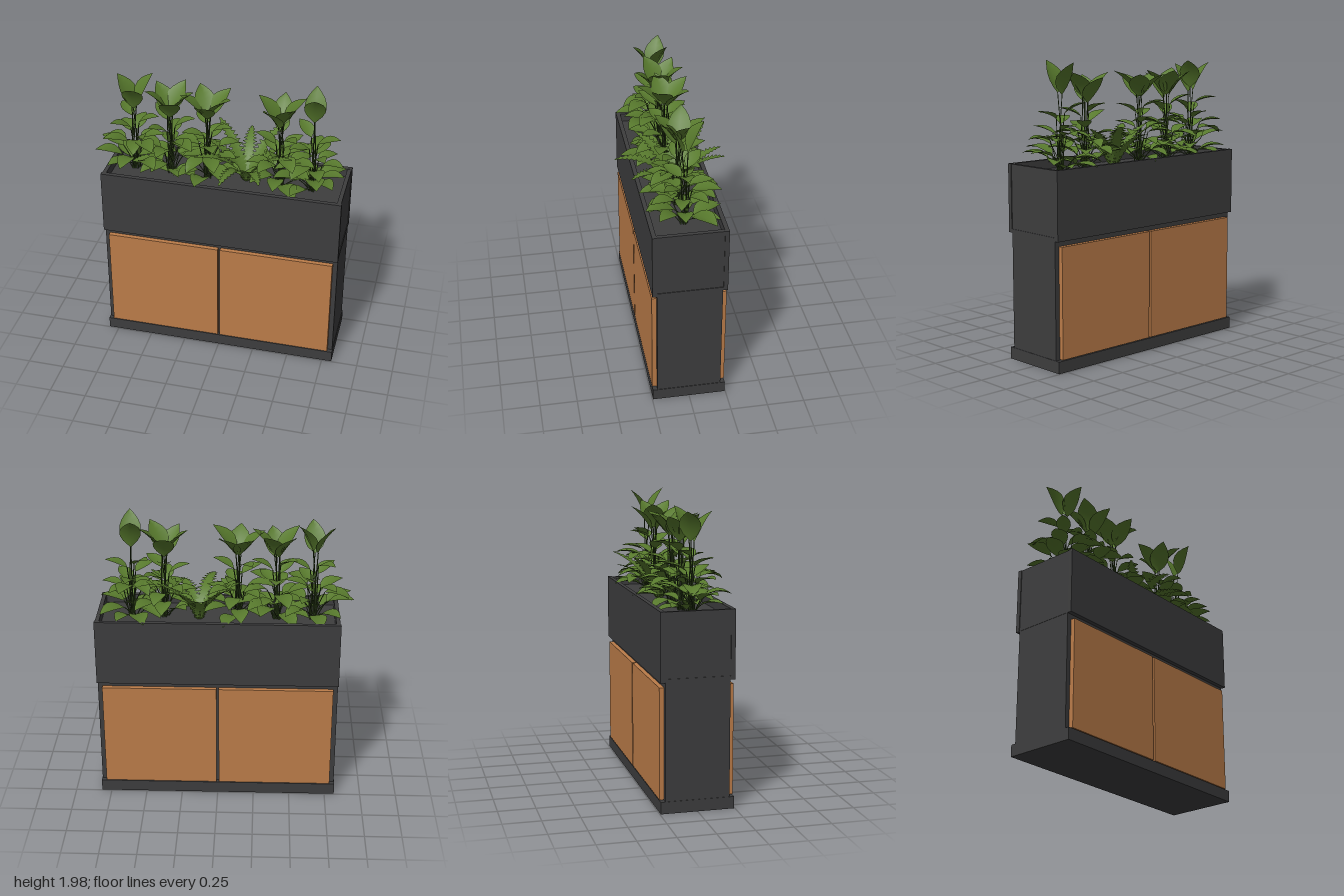
import * as THREE from 'three';
import { mergeGeometries } from 'three/addons/utils/BufferGeometryUtils.js';

const paint = (name, color, side = THREE.FrontSide) => {
  const m = new THREE.MeshStandardMaterial({ color, side });
  m.name = name;
  return m;
};

function seeded(seed) {
  let s = seed * 7919 + 17;
  return (a, b) => {
    s = (s * 16807) % 2147483647;
    return a + (b - a) * (s / 2147483647);
  };
}

// Curved, folded blade grown from a base point; halfWidth(t, row) gives its outline
function blade(base, azimuth, elevation, length, bend, fold, rows, halfWidth) {
  const h = new THREE.Vector3(Math.sin(azimuth), 0, Math.cos(azimuth));
  const side = new THREE.Vector3(Math.cos(azimuth), 0, -Math.sin(azimuth));
  const p = base.clone(), pos = [], idx = [];
  for (let r = 0; r <= rows; r++) {
    const t = r / rows, e = elevation - bend * t;
    const dir = h.clone().multiplyScalar(Math.cos(e));
    dir.y = Math.sin(e);
    const up = h.clone().multiplyScalar(-Math.sin(e));
    up.y = Math.cos(e);
    const w = halfWidth(t, r);
    for (const k of [-1, 0, 1]) {
      const v = p.clone().addScaledVector(side, k * w).addScaledVector(up, Math.abs(k) * w * fold);
      pos.push(v.x, v.y, v.z);
    }
    p.addScaledVector(dir, length / rows);
    if (r < rows) {
      for (let c = 0; c < 2; c++) {
        const a = r * 3 + c;
        idx.push(a, a + 3, a + 1, a + 1, a + 3, a + 4);
      }
    }
  }
  const g = new THREE.BufferGeometry();
  g.setAttribute('position', new THREE.Float32BufferAttribute(pos, 3));
  g.setIndex(idx);
  g.computeVertexNormals();
  return g;
}

// Pointed oval leaf
const leaf = (base, az, el, len, bend) =>
  blade(base, az, el, len, bend, 0.3, 6, (t) => len * 0.31 * Math.sin(Math.PI * (0.03 + 0.97 * Math.pow(t, 0.85))));

// Fern frond with a toothed outline
const frond = (base, az, el, len, bend) =>
  blade(base, az, el, len, bend, 0.2, 30, (t, r) =>
    (r % 2 ? 1 : 0.45) * 0.058 * Math.pow(Math.max(0, Math.sin(Math.PI * (0.12 + 0.88 * t))), 0.7));

function stem(from, to) {
  const mid = new THREE.Vector3(from.x * 0.7 + to.x * 0.3, (from.y + to.y) / 2, from.z * 0.7 + to.z * 0.3);
  return new THREE.TubeGeometry(new THREE.QuadraticBezierCurve3(from, mid, to), 5, 0.0035, 4);
}

const SOIL = 1.25;

// Position, crown centre height, number of crown leaves, their tilt and first direction
const PLANTS = [
  { x: -0.64, crown: 1.83, count: 3, tilt: 1.0, turn: 0.1 },
  { x: -0.39, crown: 1.78, count: 5, tilt: 0.85, turn: 0.2 },
  { x: -0.13, crown: 1.79, count: 5, tilt: 0.75, turn: -0.1 },
  { x: 0.36, crown: 1.79, count: 5, tilt: 0.85, turn: -0.6 },
  { x: 0.58, crown: 1.88, count: 2, tilt: 1.1, turn: 0.1 },
];

export function createModel() {
  const model = new THREE.Group();
  const charcoal = paint('charcoal', 0x3d3d3e);
  const wood = paint('warm wood', 0xbb7c49);
  const green = paint('leaf green', 0x587a2d, THREE.DoubleSide);
  const darkGreen = paint('stem green', 0x33491d);

  const add = (parent, name, geometry, material) => {
    const mesh = new THREE.Mesh(geometry, material);
    mesh.name = name;
    parent.add(mesh);
  };
  const group = (name) => {
    const g = new THREE.Group();
    g.name = name;
    model.add(g);
    return g;
  };
  // Box given by its limits on each axis
  const box = (parent, name, material, x0, x1, y0, y1, z0, z1) => {
    const g = new THREE.BoxGeometry(x1 - x0, y1 - y0, z1 - z0);
    g.translate((x0 + x1) / 2, (y0 + y1) / 2, (z0 + z1) / 2);
    add(parent, name, g, material);
  };
  const span = (s, inner, outer) => (s > 0 ? [inner, outer] : [-outer, -inner]);

  // Cabinet with a plinth and two doors on both faces
  const cabinet = group('cabinet');
  box(cabinet, 'carcass', charcoal, -0.815, 0.815, 0.01, 0.865, -0.214, 0.214);
  box(cabinet, 'plinth', charcoal, -0.818, 0.818, 0, 0.08, -0.245, 0.245);
  for (const s of [-1, 1]) {
    for (const d of [-1, 1]) {
      box(cabinet, 'door', wood, ...span(d, 0.008, 0.783), 0.085, 0.822, ...span(s, 0.21, 0.245));
    }
  }

  // Planter trough
  const planter = group('planter');
  box(planter, 'planterBase', charcoal, -0.817, 0.817, 0.859, 0.882, -0.244, 0.244);
  box(planter, 'soil', charcoal, -0.8, 0.8, 0.87, SOIL, -0.23, 0.23);
  for (const s of [-1, 1]) {
    box(planter, 'longWall', charcoal, -0.818, 0.818, 0.858, 1.312, ...span(s, 0.216, 0.245));
    box(planter, 'endWall', charcoal, ...span(s, 0.786, 0.813), 0.87, 1.31, -0.22, 0.22);
  }

  // Broad-leaved plants
  PLANTS.forEach(({ x, crown, count, tilt, turn }, i) => {
    const rnd = seeded(i + 1), leaves = [], stems = [];
    const plant = group('leafyPlant');
    const grow = (radius, y, az, el, len, bend) => {
      const base = new THREE.Vector3(x + Math.sin(az) * radius, y, Math.cos(az) * radius);
      const root = new THREE.Vector3(x + rnd(-0.025, 0.025), SOIL - 0.01, rnd(-0.025, 0.025));
      leaves.push(leaf(base, az, el, len, bend));
      stems.push(stem(root, base));
    };
    // Upright crown leaves
    for (let k = 0; k < count; k++) {
      const az = turn + (k / count) * Math.PI * 2;
      grow(0.02, crown - 0.11 * Math.sin(tilt) + rnd(-0.02, 0.02), az, tilt + 0.2, 0.23, 0.45);
    }
    // Small leaves spiralling up the stems
    for (let k = 0; k < 5; k++) {
      grow(0.03, 1.5 + k * 0.035, turn + 0.5 + k * 2.4, rnd(0.4, 0.7), 0.16, 0.5);
    }
    // Spreading lower leaves in two rings
    for (const [n, radius, y, len] of [[10, 0.085, 1.35, 0.19], [7, 0.06, 1.46, 0.18]]) {
      for (let k = 0; k < n; k++) {
        const az = ((k + rnd(-0.3, 0.3)) / n) * Math.PI * 2 + i;
        grow(radius * rnd(0.7, 1.25), y + rnd(-0.06, 0.05), az, rnd(0.18, 0.58), len * rnd(0.85, 1.12), rnd(0.5, 1.1));
      }
    }
    add(plant, 'leaves', mergeGeometries(leaves), green);
    add(plant, 'stems', mergeGeometries(stems), darkGreen);
  });

  // Fern whose front fronds arch over the most
  const fronds = [];
  for (let k = 0; k < 9; k++) {
    const az = -0.25 + (k / 9) * Math.PI * 2;
    const base = new THREE.Vector3(0.13 + Math.sin(az) * 0.02, SOIL, -0.02 + Math.cos(az) * 0.02);
    const bend = 1.1 + 0.25 * Math.cos(2 * az) + 0.3 * Math.cos(az);
    fronds.push(frond(base, az, 1.2, k % 2 ? 0.4 : 0.47, bend));
  }
  add(model, 'fern', mergeGeometries(fronds), green);

  return model;
}
